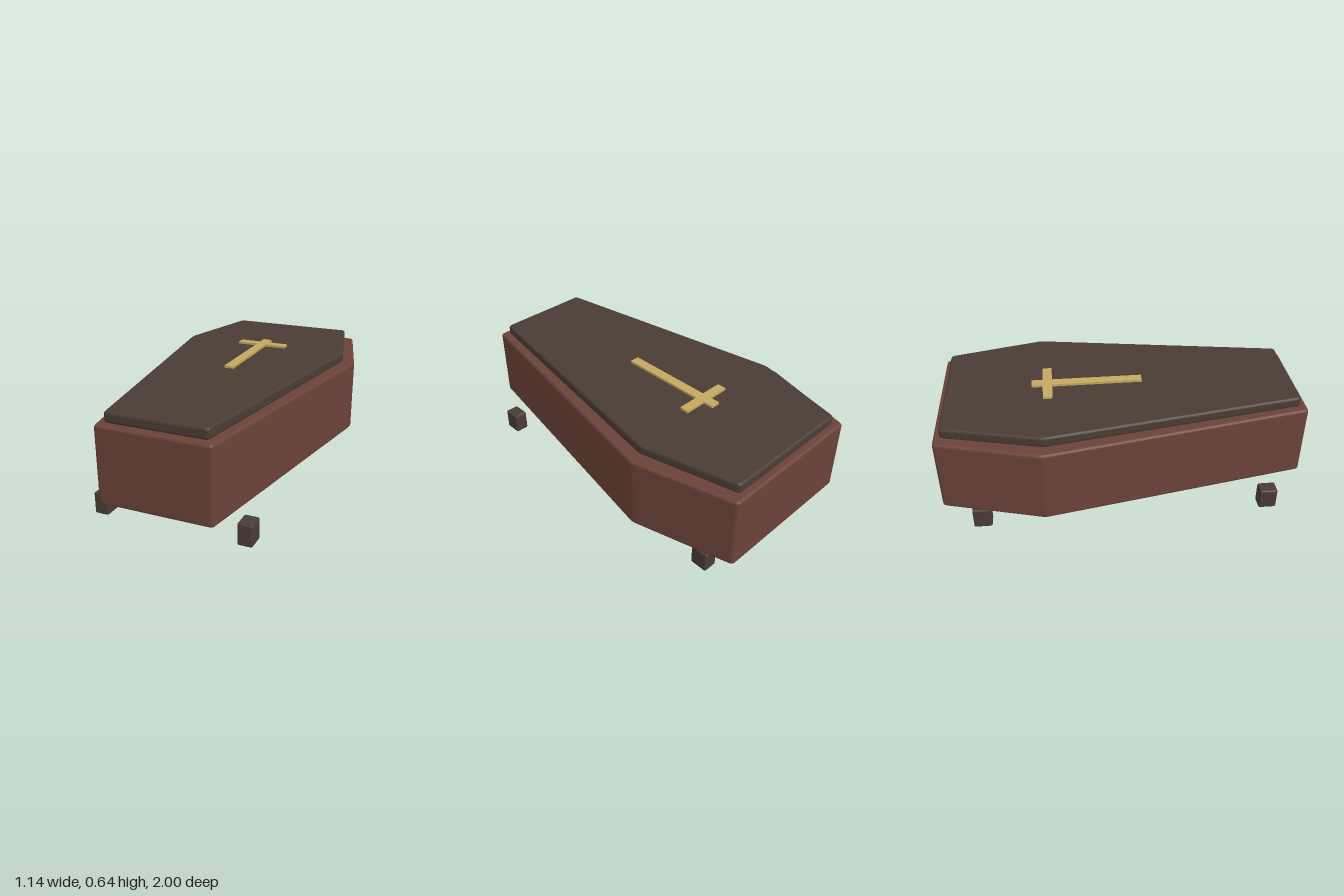
import * as THREE from 'three';
import { RoundedBoxGeometry } from 'three/addons/geometries/RoundedBoxGeometry.js';

const redWood = new THREE.MeshStandardMaterial({ color: 0x6b4238 });
const darkWood = new THREE.MeshStandardMaterial({ color: 0x4a3c34 });
const brass = new THREE.MeshStandardMaterial({ color: 0xc4a860 });

// Closed outline mirrored from its +x half, listed as [x, z] from front to back
function mirroredOutline(half) {
  const right = half.map(([x, z]) => new THREE.Vector2(x, -z));
  const left = half.map(([x, z]) => new THREE.Vector2(-x, -z)).reverse();
  return [...right, ...left];
}

// Shape whose corners are softened by a short curve
function softShape(points, cut) {
  const shape = new THREE.Shape();
  points.forEach((p, i) => {
    const prev = points[(i + points.length - 1) % points.length];
    const next = points[(i + 1) % points.length];
    const a = p.clone().add(prev.clone().sub(p).setLength(cut));
    const b = p.clone().add(next.clone().sub(p).setLength(cut));
    if (i === 0) shape.moveTo(a.x, a.y);
    else shape.lineTo(a.x, a.y);
    shape.quadraticCurveTo(p.x, p.y, b.x, b.y);
  });
  shape.closePath();
  return shape;
}

// Upright slab between two heights with rounded rims
function slab(name, shape, y0, y1, bevel, material) {
  const geometry = new THREE.ExtrudeGeometry(shape, {
    depth: y1 - y0 - 2 * bevel,
    bevelEnabled: bevel > 0,
    bevelThickness: bevel,
    bevelSize: bevel,
    bevelOffset: -bevel,
    bevelSegments: 4,
    curveSegments: 4,
  });
  geometry.rotateX(-Math.PI / 2);
  geometry.translate(0, y0 + bevel, 0);
  const mesh = new THREE.Mesh(geometry, material);
  mesh.name = name;
  return mesh;
}

export function createModel() {
  const group = new THREE.Group();
  group.name = 'coffin';

  // Six-sided body, widest at the shoulders
  const bodyOutline = mirroredOutline([[0.306, 1], [0.57, -0.45], [0.42, -1]]);
  group.add(slab('body', softShape(bodyOutline, 0.02), 0.155, 0.57, 0.015, redWood));

  // Smaller lid of the same form
  const lidOutline = mirroredOutline([[0.272, 0.96], [0.502, -0.435], [0.372, -0.965]]);
  group.add(slab('lid', softShape(lidOutline, 0.02), 0.57, 0.63, 0.015, darkWood));

  // Flat cross on the lid
  const cross = new THREE.Shape(mirroredOutline([
    [0.027, 0.12], [0.027, -0.378], [0.148, -0.378],
    [0.148, -0.43], [0.027, -0.43], [0.027, -0.49],
  ]));
  group.add(slab('cross', cross, 0.625, 0.643, 0, brass));

  // Four separate block feet
  const footGeometry = new RoundedBoxGeometry(0.08, 0.12, 0.1, 3, 0.01);
  for (const x of [-0.4, 0.4]) {
    for (const z of [-0.8, 0.8]) {
      const foot = new THREE.Mesh(footGeometry, darkWood);
      foot.name = `${z > 0 ? 'front' : 'back'}${x > 0 ? 'Left' : 'Right'}Foot`;
      foot.position.set(x, 0.06, z);
      group.add(foot);
    }
  }
  return group;
}
